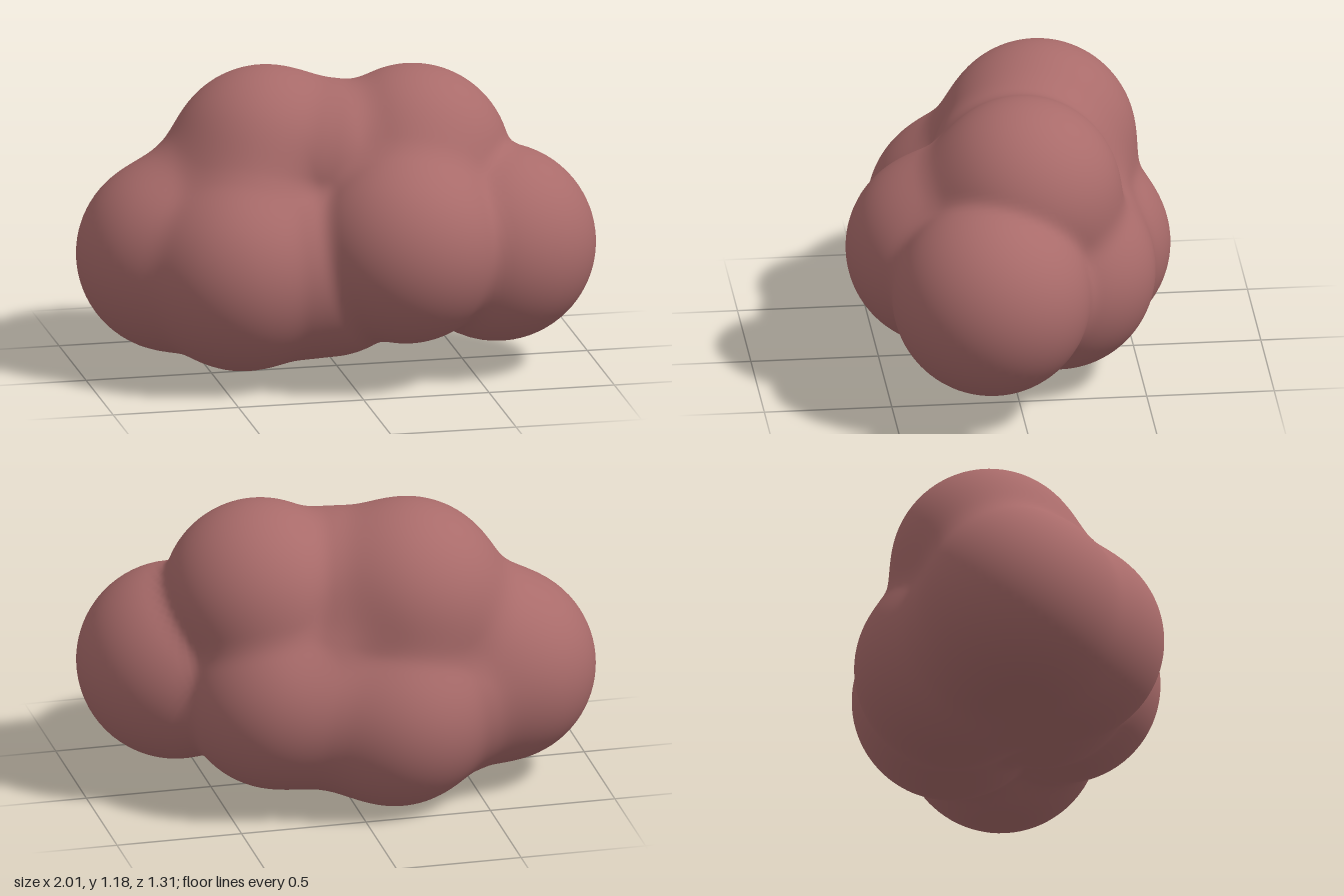
import * as THREE from 'three';
import { mergeVertices } from 'three/addons/utils/BufferGeometryUtils.js';

const v = (x, y, z) => new THREE.Vector3(x, y, z);

// Lobes of the cluster: centres of overlapping balls
const right = v(0.612, 0.5, 0.12), topRight = v(0.31, 0.8, -0.035);
const front = v(0.218, 0.55, 0.265), backRight = v(0.27, 0.45, -0.17);
const topLeft = v(-0.25, 0.795, -0.15), left = v(-0.62, 0.46, -0.12);
const frontLeft = v(-0.4, 0.44, 0.11), back = v(-0.17, 0.378, -0.275);

// Each entry is a capsule [start, end, radius]; a ball has equal ends
const lobes = [
  [right, right, 0.388],
  [topRight, topRight, 0.382],
  [front, front, 0.383],
  [backRight, backRight, 0.383],
  [topLeft, topLeft, 0.378],
  [left, left, 0.376],
  [frontLeft, frontLeft, 0.372],
  [back, back, 0.37],
  // bridges that fill the hollows
  [topLeft, v(0.04, 0.77, -0.05), 0.36],
  [frontLeft, v(-0.06, 0.455, 0.105), 0.372],
  [topRight, front, 0.355],
  [left, back, 0.355],
  [left, frontLeft, 0.368],
  [topLeft, left, 0.345],
  [topLeft, frontLeft, 0.36],
  [topLeft, back, 0.345],
  [topLeft, backRight, 0.335],
  [topRight, backRight, 0.345],
  [frontLeft, back, 0.368],
  [back, backRight, 0.36],
];

const ab = v(0, 0, 0), ap = v(0, 0, 0);
function capsule(p, [a, b, r]) {
  ab.subVectors(b, a);
  ap.subVectors(p, a);
  const t = THREE.MathUtils.clamp(ap.dot(ab) / (ab.lengthSq() || 1), 0, 1);
  return ap.addScaledVector(ab, -t).length() - r;
}

// Soft union of all lobes
function distance(p) {
  const k = 0.045;
  let d = 10;
  for (const lobe of lobes) {
    const e = capsule(p, lobe);
    const h = Math.max(k - Math.abs(d - e), 0) / k;
    d = Math.min(d, e) - h * h * k / 4;
  }
  return d;
}

// Shrink a ball onto the lobes along its rays
function blobGeometry() {
  const ball = new THREE.IcosahedronGeometry(1, 36);
  ball.deleteAttribute('uv');
  ball.deleteAttribute('normal');
  const geometry = mergeVertices(ball, 1e-5);
  const pos = geometry.attributes.position;
  const centre = v(0, 0.52, 0), dir = v(0, 0, 0), p = v(0, 0, 0);
  for (let i = 0; i < pos.count; i++) {
    dir.fromBufferAttribute(pos, i).normalize();
    let r = 1.4;
    for (let s = 0; s < 80; s++) {
      const d = distance(p.copy(centre).addScaledVector(dir, r));
      r -= d;
      if (d < 0.0005) break;
    }
    p.copy(centre).addScaledVector(dir, r);
    pos.setXYZ(i, p.x, Math.max(p.y, 0), p.z);
  }
  geometry.computeVertexNormals();
  return geometry;
}

export function createModel() {
  const group = new THREE.Group();
  group.name = 'lobedCluster';
  const body = new THREE.Mesh(blobGeometry(), new THREE.MeshStandardMaterial({ color: 0xa96b6a }));
  body.name = 'lobedBody';
  group.add(body);
  return group;
}
